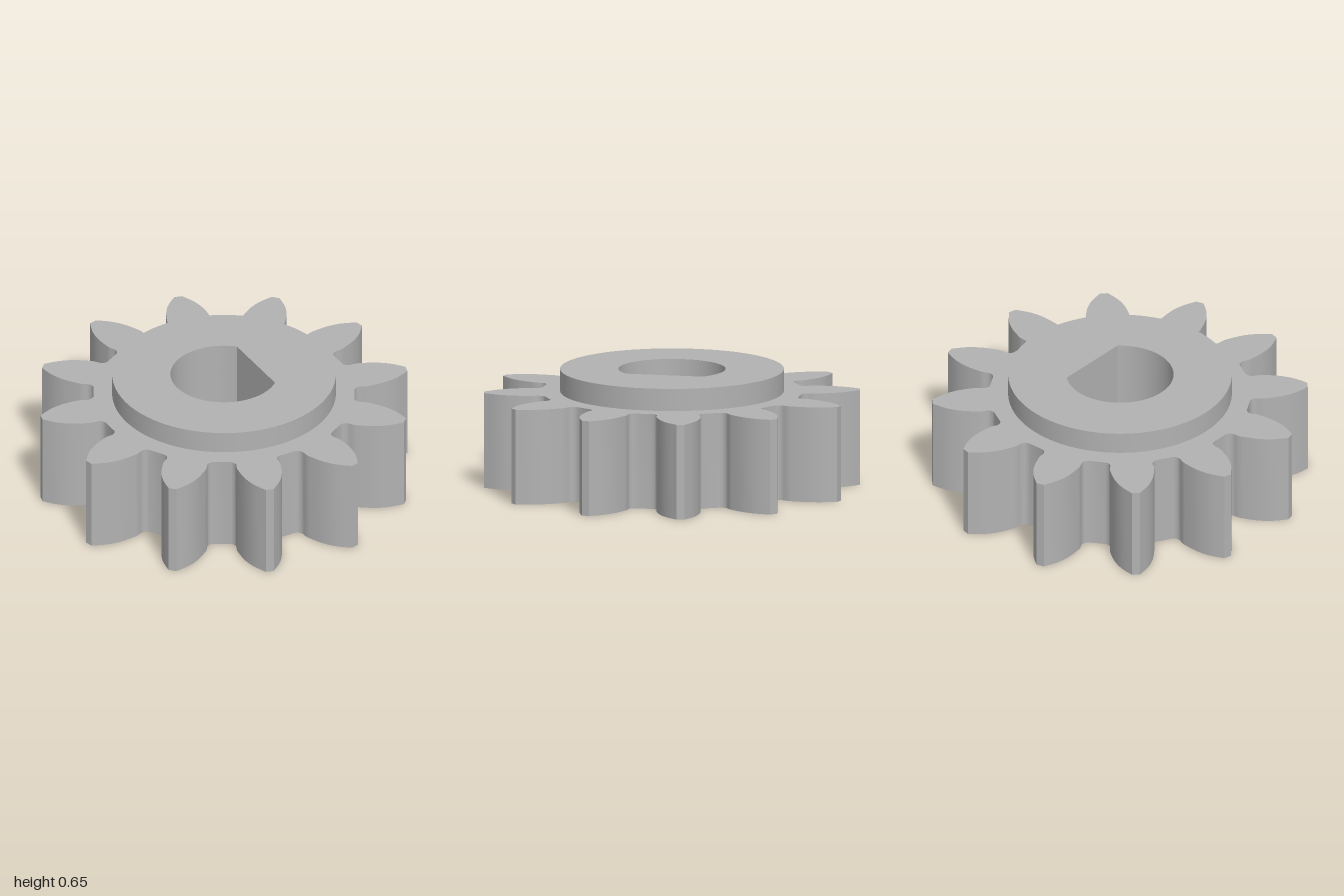
import * as THREE from 'three';
import { toCreasedNormals } from 'three/addons/utils/BufferGeometryUtils.js';

const TEETH = 12;
const BORE_RADIUS = 0.293;
const BORE_FLAT = 0.2;

// D-shaped shaft hole with its flat on +x
function borePath() {
  const a = Math.acos(BORE_FLAT / BORE_RADIUS);
  return new THREE.Path().absarc(0, 0, BORE_RADIUS, a, 2 * Math.PI - a).closePath();
}

// Gear outline: one tooth gap, mirrored about its own axis and repeated
function gearShape() {
  const flank = new THREE.SplineCurve([
    [0.714, 0.048], [0.718, 0.06], [0.728, 0.072], [0.745, 0.08], [0.77, 0.082],
    [0.80, 0.09], [0.88, 0.128], [0.945, 0.178], [1.0, 0.245],
  ].map(([r, t]) => new THREE.Vector2(r, t))).getPoints(32);
  const gap = [...flank].reverse().map((p) => new THREE.Vector2(p.x, -p.y)).concat(flank);
  const origin = new THREE.Vector2();
  const points = [];
  for (let i = 0; i < TEETH; i++) {
    const angle = (i / TEETH) * 2 * Math.PI;
    gap.forEach((p) => points.push(p.clone().rotateAround(origin, angle)));
  }
  return new THREE.Shape(points);
}

// Extrudes an outline with the bore cut out, standing upright from y = bottom
function boredPlate(name, shape, bottom, height, material) {
  shape.holes.push(borePath());
  const geometry = new THREE.ExtrudeGeometry(shape, {
    depth: height, bevelEnabled: false, curveSegments: 96,
  });
  geometry.rotateX(-Math.PI / 2).translate(0, bottom, 0);
  const mesh = new THREE.Mesh(toCreasedNormals(geometry, 0.55), material);
  mesh.name = name;
  return mesh;
}

export function createModel() {
  const steel = new THREE.MeshStandardMaterial({ color: 0xb2b2b2 });
  steel.name = 'plain grey';

  const model = new THREE.Group();
  model.name = 'spurGear';
  const hub = new THREE.Shape().absarc(0, 0, 0.612, 0, 2 * Math.PI);
  model.add(
    boredPlate('toothedWheel', gearShape(), 0, 0.527, steel),
    boredPlate('hub', hub, 0.527, 0.123, steel),
  );
  return model;
}
